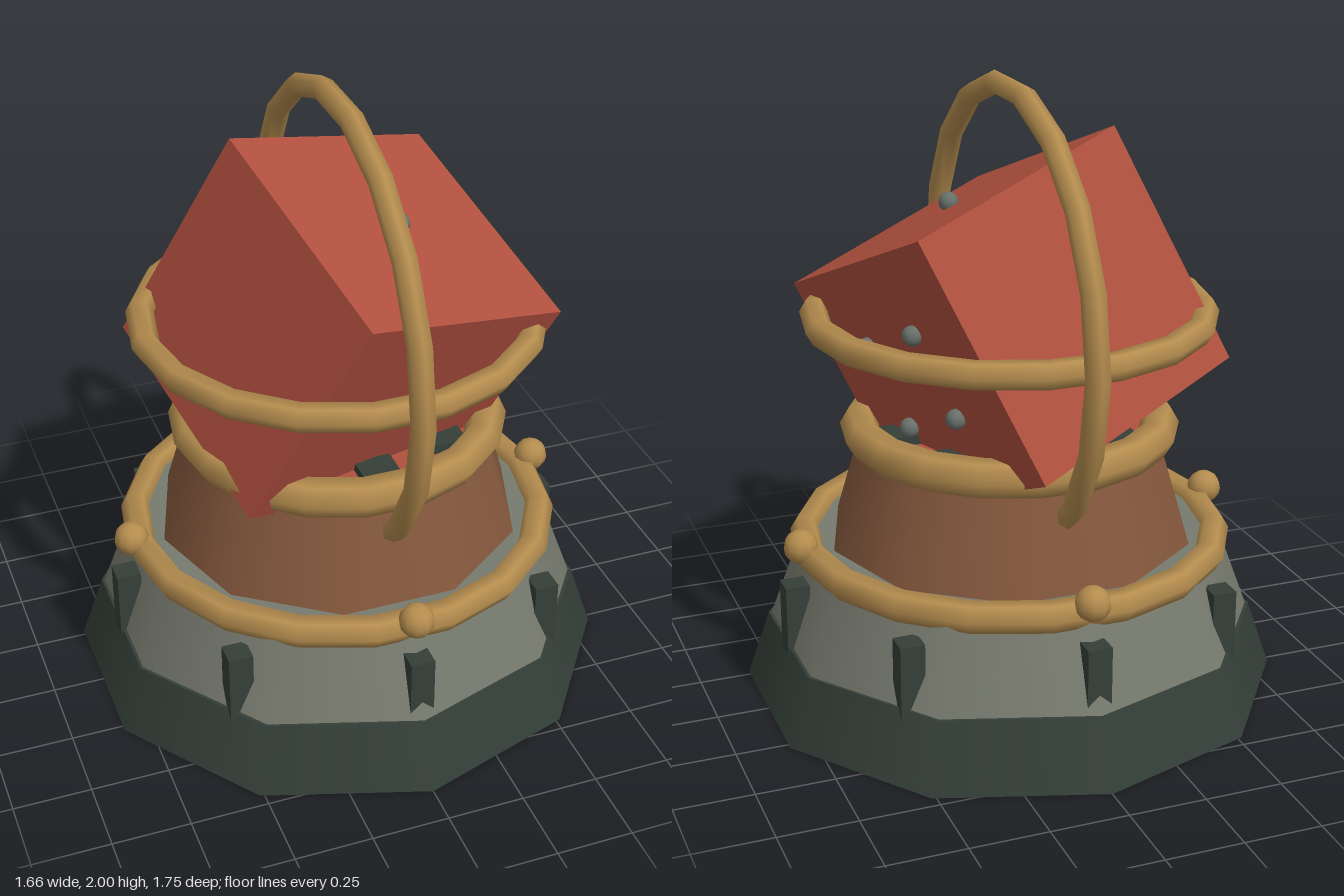
import * as THREE from 'three';

const mat = (name, color) => {
  const m = new THREE.MeshStandardMaterial({ color });
  m.name = name;
  return m;
};

export function createModel() {
  const root = new THREE.Group();
  const red = mat('red', 0xb0503e);
  const gold = mat('gold', 0xb48c4e);
  const brown = mat('brown', 0x85583d);
  const grey = mat('grey', 0x777a6e);
  const dark = mat('darkGreen', 0x343f38);
  const stud = mat('studGrey', 0x69716b);

  const add = (name, geometry, material, x = 0, y = 0, z = 0, parent = root) => {
    const mesh = new THREE.Mesh(geometry, material);
    mesh.name = name;
    mesh.position.set(x, y, z);
    parent.add(mesh);
    return mesh;
  };
  // Ten-sided tapered tier from y0 to y1
  const tier = (name, rBottom, rTop, y0, y1, material) =>
    add(name, new THREE.CylinderGeometry(rTop, rBottom, y1 - y0, 10), material, 0, (y0 + y1) / 2, 0);
  // Ring with a six-sided tube, lying flat
  const ring = (name, radius, tube, y) => {
    const mesh = add(name, new THREE.TorusGeometry(radius, tube, 6, 18), gold, 0, y, 0);
    mesh.rotation.x = Math.PI / 2;
    return mesh;
  };

  // Stepped pedestal
  tier('foot', 0.875, 0.8, 0, 0.22, dark);
  tier('drum', 0.79, 0.68, 0.22, 0.52, grey);
  tier('collar', 0.6, 0.495, 0.51, 0.86, brown).rotation.y = Math.PI / 2;
  add('collarDisc', new THREE.CylinderGeometry(0.45, 0.45, 0.02, 20), red, 0, 0.86, 0);

  // Blocks around the drum and inside the collar mouth
  for (let i = 0; i < 8; i++) {
    const a = (i * Math.PI) / 4;
    const s = Math.sin(a), c = Math.cos(a);
    add('drumFin', new THREE.BoxGeometry(0.078, 0.25, 0.078), dark, s * 0.73, 0.305, c * 0.73);
    add('mouthBlock', new THREE.BoxGeometry(0.12, 0.05, 0.12), dark, s * 0.37, 0.875, c * 0.37);
  }

  // Gold rings
  ring('drumRing', 0.67, 0.05, 0.508);
  ring('collarRing', 0.485, 0.062, 0.88);
  ring('orbitRing', 0.62, 0.045, 1.255);
  const hoop = ring('uprightHoop', 0.718, 0.038, 1.255);
  hoop.rotation.set(0, Math.PI / 2, 0);

  // Gold beads on the drum ring
  for (let i = 0; i < 4; i++) {
    const a = (i * Math.PI) / 2;
    add('bead', new THREE.SphereGeometry(0.056, 10, 8), gold, Math.sin(a) * 0.705, 0.552, Math.cos(a) * 0.705);
  }

  // Tilted cube: local x, y, z point along its own three edges
  const cube = new THREE.Group();
  cube.name = 'tiltedCube';
  const xAxis = new THREE.Vector3(0.73, -0.225, -0.28).normalize();
  const zAxis = new THREE.Vector3(0.185, -0.31, 0.725).normalize();
  const yAxis = new THREE.Vector3().crossVectors(zAxis, xAxis).normalize();
  zAxis.crossVectors(xAxis, yAxis);
  cube.quaternion.setFromRotationMatrix(new THREE.Matrix4().makeBasis(xAxis, yAxis, zAxis));
  cube.position.y = 1.225;
  root.add(cube);
  add('cubeBody', new THREE.BoxGeometry(0.812, 0.812, 0.812), red, 0, 0, 0, cube);

  // Studs: one on top, four on the side
  const studGeometry = new THREE.SphereGeometry(0.033, 8, 6);
  add('topStud', studGeometry, stud, 0, 0.42, 0, cube);
  for (const y of [-0.143, 0.143])
    for (const z of [-0.143, 0.143]) add('sideStud', studGeometry, stud, 0.42, y, z, cube);

  return root;
}
